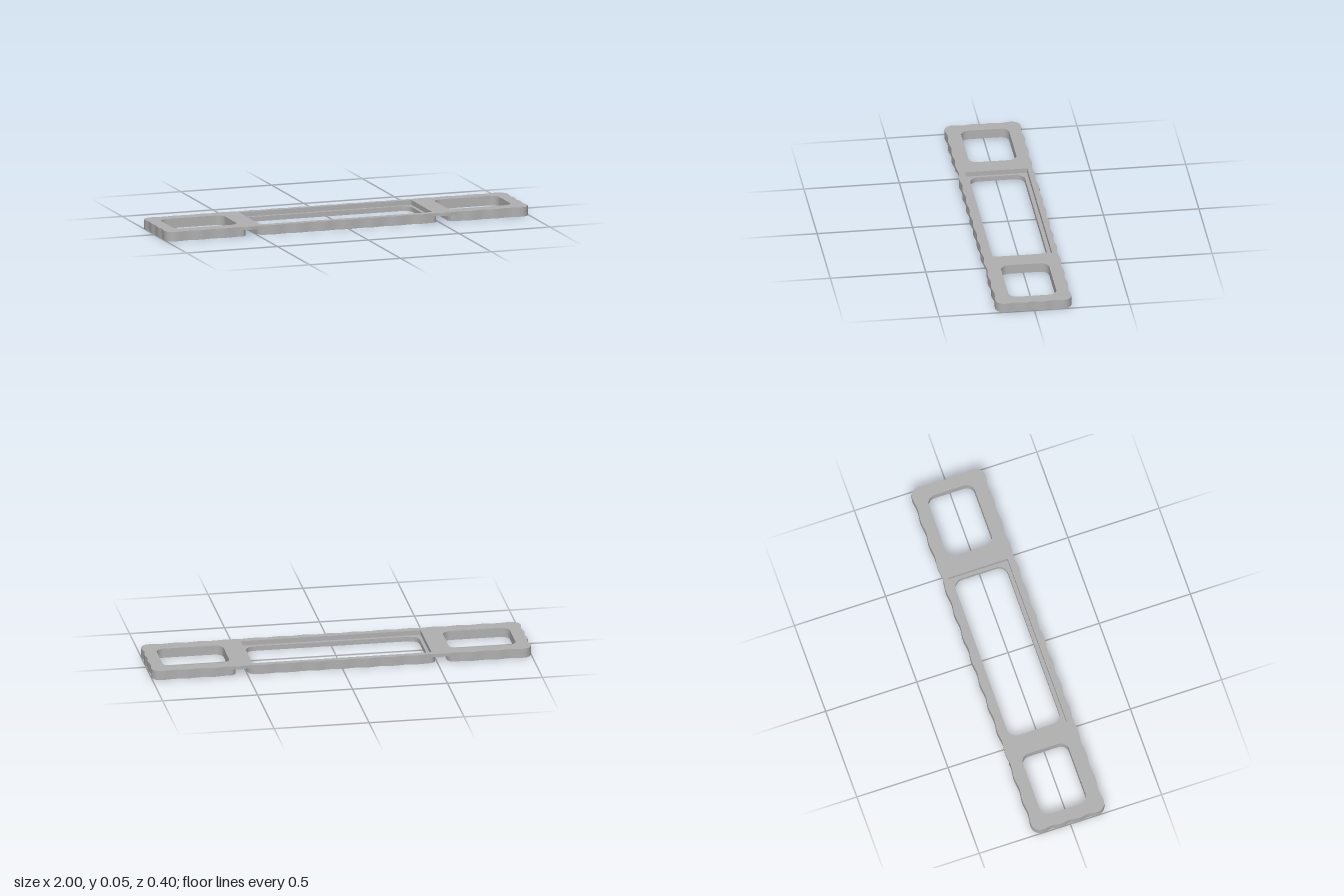
import * as THREE from 'three';
import { toCreasedNormals } from 'three/addons/utils/BufferGeometryUtils.js';

const TOP = 0.05, LEDGE = 0.025, GROOVE = 0.033; // heights of top, recess floor, groove ceiling
const HALF_X = 1, HALF_Z = 0.2, CORNER = 0.05, WAVE = 0.007;
const GROOVE_IN = 0.495, GROOVE_OUT = 0.556, FLARE_X = 0.032, FLARE_Z = 0.045;

// gently scalloped edge: inward dip at position t along a side
const dip = (t, half, n) => WAVE * (0.5 - 0.5 * Math.cos((t / half + 1) * n * Math.PI));
const longEdge = (x) => HALF_Z - dip(x, HALF_X - CORNER, 14);
const shortEdge = (y) => HALF_X - dip(y, HALF_Z - CORNER, 3);

// long side between two x positions
function longSide(x0, x1) {
  const n = Math.ceil((x1 - x0) / 0.012), pts = [];
  for (let i = 0; i <= n; i++) {
    const x = x0 + (x1 - x0) * i / n;
    pts.push([x, longEdge(x)]);
  }
  return pts;
}

// rounded corner, then the short side down to the middle
function endSide() {
  const pts = [];
  for (let i = 1; i < 8; i++) {
    const a = Math.PI / 2 * (1 - i / 8);
    pts.push([HALF_X - CORNER + CORNER * Math.cos(a), HALF_Z - CORNER + CORNER * Math.sin(a)]);
  }
  for (let i = 0; i <= 14; i++) {
    const y = (HALF_Z - CORNER) * (1 - i / 14);
    pts.push([shortEdge(y), y]);
  }
  return pts;
}

// curved groove mouth, from the outer edge into the groove wall
function flare(wallX, dir) {
  const x0 = wallX - dir * FLARE_X, z = longEdge(x0), pts = [];
  for (let i = 1; i <= 8; i++) {
    const a = Math.PI / 2 * i / 8;
    pts.push([x0 + dir * FLARE_X * Math.sin(a), z - FLARE_Z * (1 - Math.cos(a))]);
  }
  return pts;
}

// outline from an upper half, mirrored to the lower half
function mirrorY(pts) {
  const low = pts.filter((p) => p[1] > 1e-6).map(([x, y]) => [x, -y]).reverse();
  return [...pts, ...low].map(([x, y]) => new THREE.Vector2(x, y));
}
// upper half from an upper right quarter
function mirrorX(pts) {
  const left = pts.filter((p) => p[0] > 1e-6).map(([x, y]) => [-x, y]).reverse();
  return [...left, ...pts];
}

function roundedHole(cx, cy, hx, hy, r) {
  const p = new THREE.Path();
  if (r === 0) {
    p.setFromPoints([[-1, -1], [1, -1], [1, 1], [-1, 1], [-1, -1]]
      .map(([a, b]) => new THREE.Vector2(cx + a * hx, cy + b * hy)));
    return p;
  }
  p.absarc(cx + hx - r, cy + hy - r, r, 0, Math.PI / 2);
  p.absarc(cx - hx + r, cy + hy - r, r, Math.PI / 2, Math.PI);
  p.absarc(cx - hx + r, cy - hy + r, r, Math.PI, Math.PI * 1.5);
  p.absarc(cx + hx - r, cy - hy + r, r, Math.PI * 1.5, Math.PI * 2);
  p.closePath();
  return p;
}

export function createModel() {
  const group = new THREE.Group();
  const grey = new THREE.MeshStandardMaterial({ color: 0xb0b0b0 });
  grey.name = 'grey';

  function slab(name, outline, holes, y0, y1) {
    const shape = new THREE.Shape(outline);
    shape.holes.push(...holes);
    const raw = new THREE.ExtrudeGeometry(shape, { depth: y1 - y0, bevelEnabled: false, curveSegments: 10 });
    raw.rotateX(-Math.PI / 2);
    raw.translate(0, y0, 0);
    const mesh = new THREE.Mesh(toCreasedNormals(raw, 0.6), grey);
    mesh.name = name;
    group.add(mesh);
  }

  const sideHole = (s) => roundedHole(s * 0.754, 0.004, 0.176, 0.126, 0.045);
  const recess = () => roundedHole(0, 0.003, 0.474, 0.163, 0);
  const windowHole = () => roundedHole(0, 0.003, 0.457, 0.143, 0.05);

  // full-length top plate with the recess opening
  const full = mirrorY(mirrorX([...longSide(0, HALF_X - CORNER), ...endSide()]));
  slab('topPlate', full, [recess(), sideHole(1), sideHole(-1)], GROOVE, TOP);

  // middle section between the two grooves, with the window ledge
  const middle = mirrorY(mirrorX([
    ...longSide(0, GROOVE_IN - FLARE_X), ...flare(GROOVE_IN, 1),
  ]));
  slab('recessWall', middle, [recess()], LEDGE, GROOVE);
  slab('windowLedge', middle, [windowHole()], 0, LEDGE);

  // end sections outside the grooves
  const end = [
    ...flare(GROOVE_OUT, -1).reverse(),
    ...longSide(GROOVE_OUT + FLARE_X, HALF_X - CORNER), ...endSide(),
  ];
  for (const s of [1, -1]) {
    const outline = mirrorY(end).map((p) => new THREE.Vector2(s * p.x, p.y));
    slab(s > 0 ? 'leftEnd' : 'rightEnd', outline, [sideHole(s)], 0, GROOVE);
  }
  return group;
}
